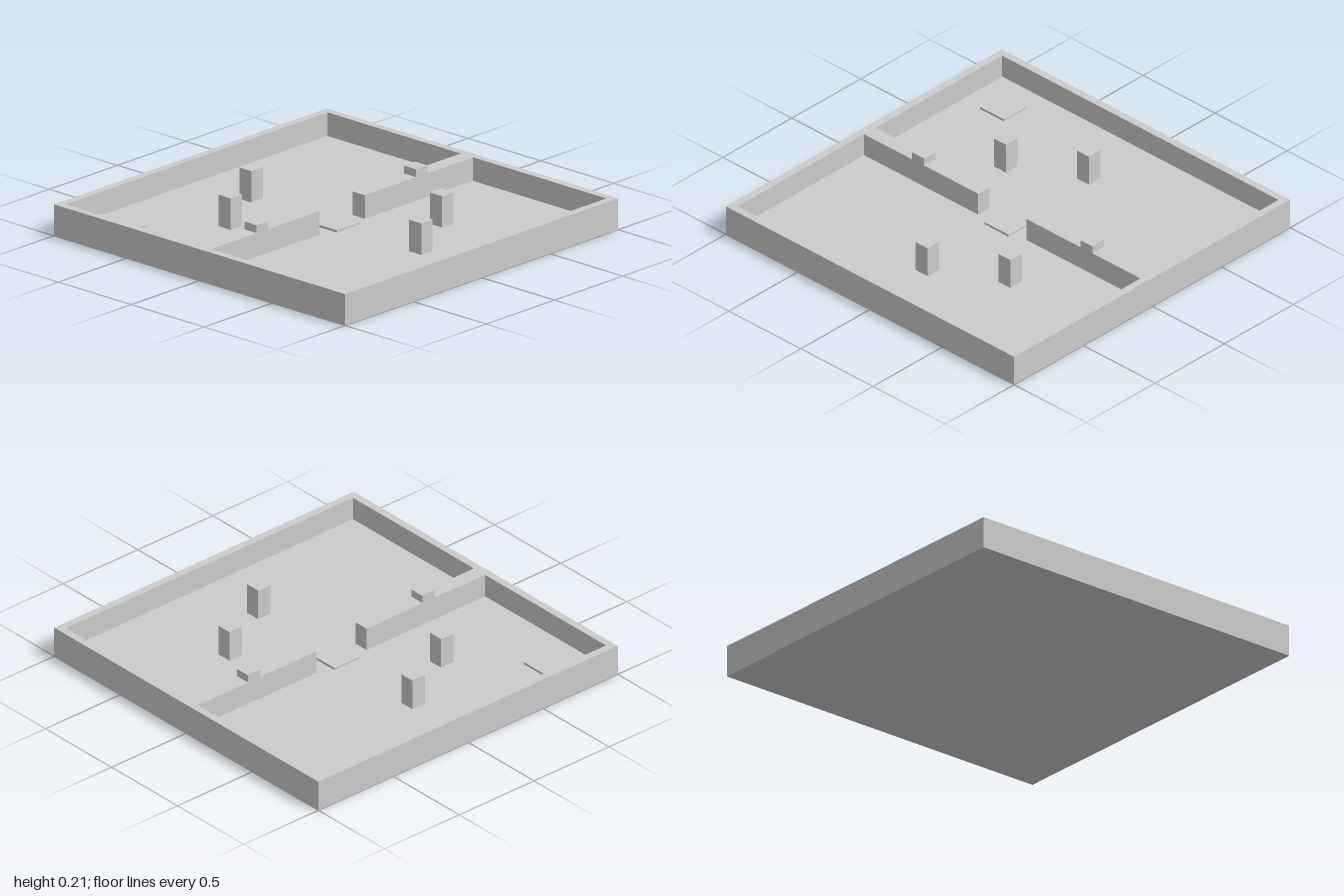
import * as THREE from 'three';

const U = 1 / 24; // grid unit: the tray is 48 units wide
const material = new THREE.MeshStandardMaterial({ color: 0xcccccc, flatShading: true });

export function createModel() {
  const model = new THREE.Group();

  // Box standing on height y, sizes and positions in grid units
  function addBox(name, w, h, d, x, y, z) {
    const mesh = new THREE.Mesh(new THREE.BoxGeometry(w * U, h * U, d * U), material);
    mesh.position.set(x * U, (y + h / 2) * U, z * U);
    mesh.name = name;
    model.add(mesh);
  }

  // Floor slab
  addBox('floor', 48, 1, 48, 0, 0, 0);

  // Outer walls and the two half dividers, cut as one outline with an H-shaped hole
  const outline = (pts) => pts.map(([x, y]) => new THREE.Vector2(x * U, y * U));
  const walls = new THREE.Shape(outline([[-24, -24], [24, -24], [24, 24], [-24, 24]]));
  walls.holes.push(new THREE.Path(outline([
    [-23, -23], [-23, -1], [-4, -1], [-4, 1], [-23, 1], [-23, 23],
    [23, 23], [23, 1], [4, 1], [4, -1], [23, -1], [23, -23],
  ])));
  const wallGeometry = new THREE.ExtrudeGeometry(walls, { depth: 3 * U, bevelEnabled: false });
  wallGeometry.rotateX(-Math.PI / 2);
  const wallMesh = new THREE.Mesh(wallGeometry, material);
  wallMesh.position.y = U;
  wallMesh.name = 'wallsAndDividers';
  model.add(wallMesh);

  // Free-standing pillars
  for (const [x, z] of [[0, -14], [0, 14], [-9, -9], [9, 9]]) {
    addBox('pillar', 2, 4, 2, x, 1, z);
  }

  // Blocks on top of the dividers
  for (const side of [-1, 1]) addBox('dividerBlock', 2, 1, 2, side * 14, 4, 0);

  // Thin floor pads
  addBox('centrePad', 4, 0.3, 4, 0, 1, 0);
  addBox('cornerPad', 4, 0.3, 4, -18, 1, -18);

  return model;
}
